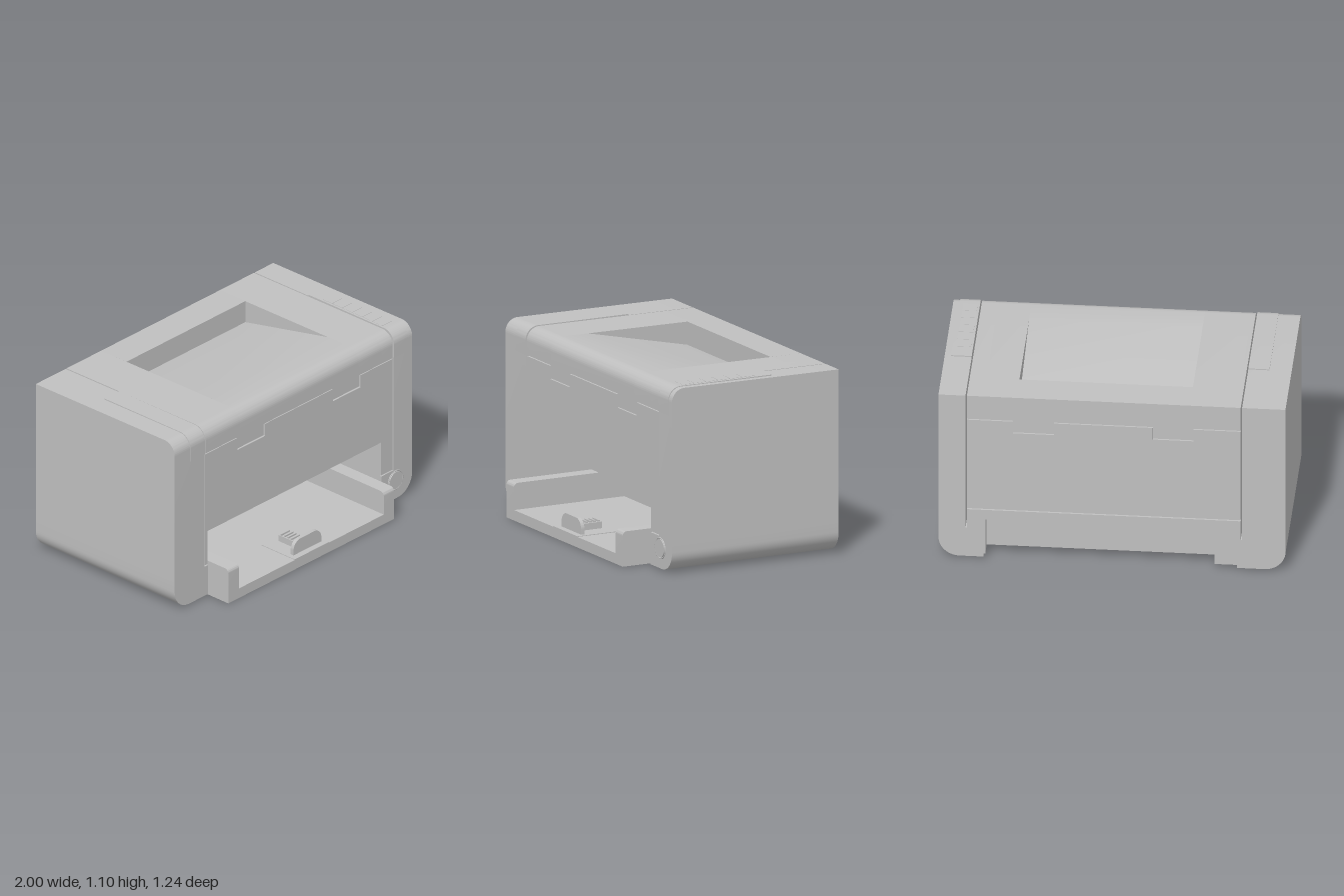
import * as THREE from 'three';
import { toCreasedNormals } from 'three/addons/utils/BufferGeometryUtils.js';

export function createModel() {
  const model = new THREE.Group();
  model.name = 'printer';
  const grey = new THREE.MeshStandardMaterial({ color: 0xc0c0c0 });
  grey.name = 'grey plastic';

  const add = (name, geometry) => {
    const mesh = new THREE.Mesh(geometry, grey);
    mesh.name = name;
    model.add(mesh);
    return mesh;
  };
  const box = (name, x0, x1, y0, y1, z0, z1) =>
    add(name, new THREE.BoxGeometry(x1 - x0, y1 - y0, z1 - z0)
      .translate((x0 + x1) / 2, (y0 + y1) / 2, (z0 + z1) / 2));
  const extrude = (shape, depth) => toCreasedNormals(new THREE.ExtrudeGeometry(shape,
    { depth, bevelEnabled: false, curveSegments: 12 }), 0.5);
  // Side profile in (z, y), swept from x0 to x1
  const sweepX = (name, shape, x0, x1) =>
    add(name, extrude(shape, x1 - x0).rotateY(-Math.PI / 2).translate(x1, 0, 0));
  // Front outline in (x, y), swept from z0 to z1
  const sweepZ = (name, shape, z0, z1) =>
    add(name, extrude(shape, z1 - z0).translate(0, 0, z0));
  const lines = (shape, points) => points.forEach(([a, b]) => shape.lineTo(a, b));

  // Central body: rounded top cover, optional output ramp and hollow underside
  const coreProfile = (hollow, ramp) => {
    const s = new THREE.Shape();
    s.moveTo(0.455, hollow ? 0.42 : 0.2);
    lines(s, [[0.455, 0.935], [0.47, 0.935], [0.47, 1.017]]);
    s.absarc(0.39, 1.017, 0.08, 0, Math.PI / 2, false);
    if (ramp) lines(s, [[0.23, 1.096], [-0.42, 0.955], [-0.42, 1.092]]);
    lines(s, [[-0.62, 1.09], [-0.62, 0.935], [-0.608, 0.935], [-0.608, 0.325], [-0.62, 0.325]]);
    lines(s, hollow
      ? [[-0.62, 0.26], [-0.55, 0.26], [-0.55, 0.05], [-0.53, 0.05], [-0.53, 0.3],
        [-0.12, 0.3], [-0.12, 0.06], [-0.1, 0.06], [-0.1, 0.42]]
      : [[-0.62, 0.2]]);
    s.closePath();
    return s;
  };
  sweepX('bodyEdge', coreProfile(false, false), -0.742, -0.72);
  sweepX('bodySection', coreProfile(true, false), -0.72, -0.45);
  sweepX('outputTraySection', coreProfile(true, true), -0.45, 0.55);
  sweepX('bodySection', coreProfile(true, false), 0.55, 0.74);
  sweepX('bodyEdge', coreProfile(false, false), 0.74, 0.836);

  // Side cheeks
  const cheek = new THREE.Shape();
  cheek.moveTo(0.47, 0.2);
  cheek.lineTo(0.47, 1.016);
  cheek.absarc(0.39, 1.016, 0.08, 0, Math.PI / 2, false);
  lines(cheek, [[-0.62, 1.09], [-0.62, 0.2]]);
  cheek.closePath();
  sweepX('sideCheek', cheek, -1, -0.75);
  sweepX('sideCheek', cheek, 0.844, 1);

  // Feet of the cheeks, with a rounded outer bottom edge
  for (const [side, inner] of [[-1, 0.72], [1, 0.74]]) {
    const s = new THREE.Shape();
    s.moveTo(side * inner, 0.2);
    s.lineTo(side * inner, 0.01);
    s.lineTo(side * 0.88, 0.01);
    s.bezierCurveTo(side * 0.946, 0.01, side, 0.064, side, 0.13);
    s.lineTo(side, 0.2);
    s.closePath();
    sweepZ('cheekFoot', s, -0.62, 0.47);
  }

  // Raised wings either side of the top cover
  const wing = new THREE.Shape();
  wing.moveTo(0.474, 0.935);
  wing.lineTo(0.474, 1.02);
  wing.absarc(0.394, 1.02, 0.08, 0, Math.PI / 2, false);
  lines(wing, [[-0.2, 1.099], [-0.2, 1.05], [0.4, 1.05], [0.4, 0.935]]);
  wing.closePath();
  sweepX('coverWing', wing, -0.872, -0.75);
  sweepX('coverWing', wing, 0.844, 0.962);

  // Front and rear panels with finger notches under the cover
  const panel = (bottom, opening) => {
    const s = new THREE.Shape();
    s.moveTo(-0.742, bottom);
    if (opening) lines(s, [[-0.72, bottom], [-0.72, 0.42], [0.74, 0.42], [0.74, bottom]]);
    lines(s, [[0.836, bottom], [0.836, 0.928], [0.57, 0.928], [0.57, 0.85], [0.335, 0.85],
      [0.335, 0.928], [-0.235, 0.928], [-0.235, 0.85], [-0.47, 0.85], [-0.47, 0.928],
      [-0.742, 0.928]]);
    s.closePath();
    return s;
  };
  sweepZ('frontPanel', panel(0.205, true), 0.45, 0.467);
  sweepZ('rearPanel', panel(0.335, false), -0.619, -0.6);

  // Rear legs framing the lower notch
  box('rearLeg', -0.72, -0.59, 0.03, 0.262, -0.62, -0.53);
  box('rearLeg', 0.73, 0.74, 0.03, 0.262, -0.62, -0.53);

  // Paper stops and feed strip on the inner wall, raised on both sides
  for (const [x0, x1, y1] of [[-0.37, -0.15, 0.27], [-0.02, 0.11, 0.325], [0.25, 0.465, 0.27]])
    box('paperStop', x0, x1, 0.2, y1, -0.126, -0.094);
  box('feedStrip', -0.53, 0.6, 0.165, 0.205, -0.124, -0.096);

  // Paper tray
  box('trayFloor', -0.71, 0.685, 0, 0.062, -0.12, 0.62);
  const trayWall = (top) => {
    const s = new THREE.Shape();
    s.moveTo(-0.1, 0.03);
    s.lineTo(0.62, 0.03);
    s.lineTo(0.62, top - 0.025);
    s.absarc(0.595, top - 0.025, 0.025, 0, Math.PI / 2, false);
    s.lineTo(-0.1, top);
    s.closePath();
    return s;
  };
  sweepX('trayWall', trayWall(0.22), -0.71, -0.62);
  sweepX('trayWall', trayWall(0.207), 0.6, 0.685);

  // Sliding paper guide with a grip tab and ribs
  const tab = new THREE.Shape();
  tab.moveTo(-0.12, 0.05);
  tab.lineTo(0.115, 0.05);
  tab.lineTo(0.115, 0.095);
  tab.absarc(0.055, 0.095, 0.06, 0, Math.PI / 2, false);
  tab.absarc(-0.06, 0.095, 0.06, Math.PI / 2, Math.PI, false);
  tab.closePath();
  sweepZ('guideTab', tab, 0.56, 0.582);
  box('guidePlate', -0.15, 0.14, 0.06, 0.066, 0.36, 0.62);
  box('guideSlider', -0.05, 0.03, 0.06, 0.105, 0.4, 0.565);
  for (let i = 0; i < 6; i++)
    box('guideRib', -0.045, 0.025, 0.1, 0.115, 0.41 + i * 0.026, 0.42 + i * 0.026);

  // Control buttons on top
  for (let i = 0; i < 6; i++)
    box('controlButton', 0.857, 0.942, 1.095, 1.101, -0.1 + i * 0.079, -0.024 + i * 0.079);

  // Round power button
  add('powerButtonRing', new THREE.TorusGeometry(0.06, 0.004, 8, 40).translate(0.86, 0.13, 0.47));
  add('powerButton', new THREE.CylinderGeometry(0.054, 0.054, 0.012, 40)
    .rotateX(Math.PI / 2).translate(0.86, 0.13, 0.47));

  return model;
}
